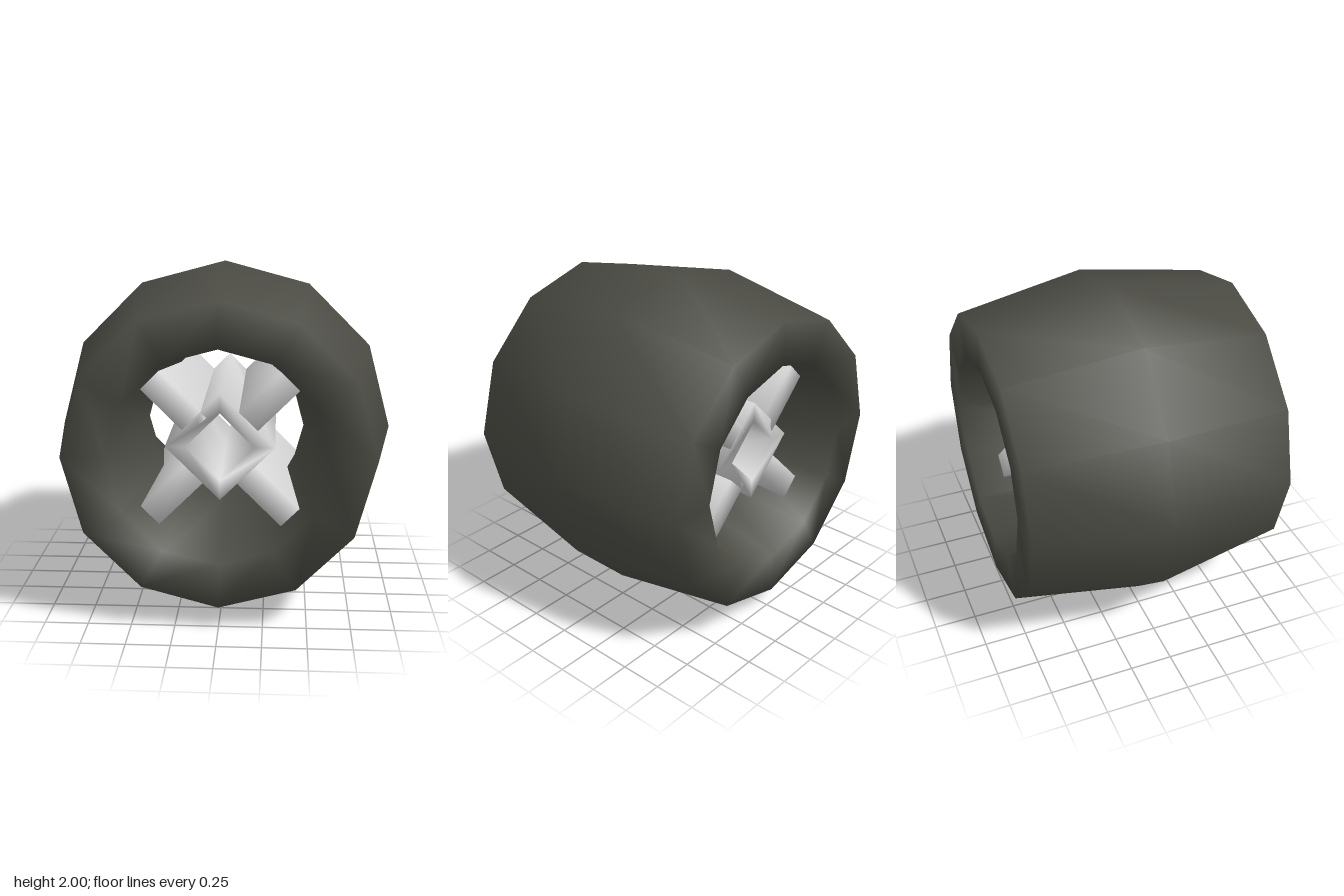
import * as THREE from 'three';
import { mergeVertices } from 'three/addons/utils/BufferGeometryUtils.js';

// Weld shared corners so shading flows smoothly across the facets
function smooth(geometry) {
  geometry.deleteAttribute('normal');
  geometry.deleteAttribute('uv');
  const welded = mergeVertices(geometry, 1e-4);
  welded.computeVertexNormals();
  return welded;
}

function addPart(parent, name, geometry, material) {
  const mesh = new THREE.Mesh(smooth(geometry), material);
  mesh.name = name;
  parent.add(mesh);
  return mesh;
}

export function createModel() {
  const model = new THREE.Group();
  model.name = 'wheel';

  const rubber = new THREE.MeshStandardMaterial({ color: 0x4b4b44 });
  rubber.name = 'dark rubber';
  const metal = new THREE.MeshStandardMaterial({ color: 0xd8d8d8 });
  metal.name = 'light metal';

  // Wide tyre: six-sided ring stretched along the axle
  const tyre = new THREE.TorusGeometry(0.74, 0.26, 6, 12);
  tyre.scale(1, 1, 0.78 / (0.26 * Math.sin(Math.PI / 3)));
  addPart(model, 'tyre', tyre, rubber).position.y = 1;

  // Square hub with a hole that narrows towards the middle
  const depth = 0.6;
  const profile = [
    [0.31, -depth], [0.31, depth], [0.195, depth],
    [0.165, 0], [0.195, -depth], [0.31, -depth],
  ].map(([r, z]) => new THREE.Vector2(r, z));
  const hub = new THREE.LatheGeometry(profile, 4);
  hub.rotateX(Math.PI / 2);
  addPart(model, 'hub', hub, metal).position.y = 1.02;

  // Four deep spokes on the diagonals
  const spokes = new THREE.Group();
  spokes.name = 'spokes';
  spokes.position.y = 1.01;
  const inner = 0.18, outer = 0.565;
  for (let i = 0; i < 4; i++) {
    const spoke = new THREE.BoxGeometry(outer - inner, 0.148, depth * 2);
    spoke.translate((inner + outer) / 2, 0, 0);
    addPart(spokes, 'spoke', spoke, metal).rotation.z = Math.PI / 4 + i * Math.PI / 2;
  }
  model.add(spokes);

  return model;
}
